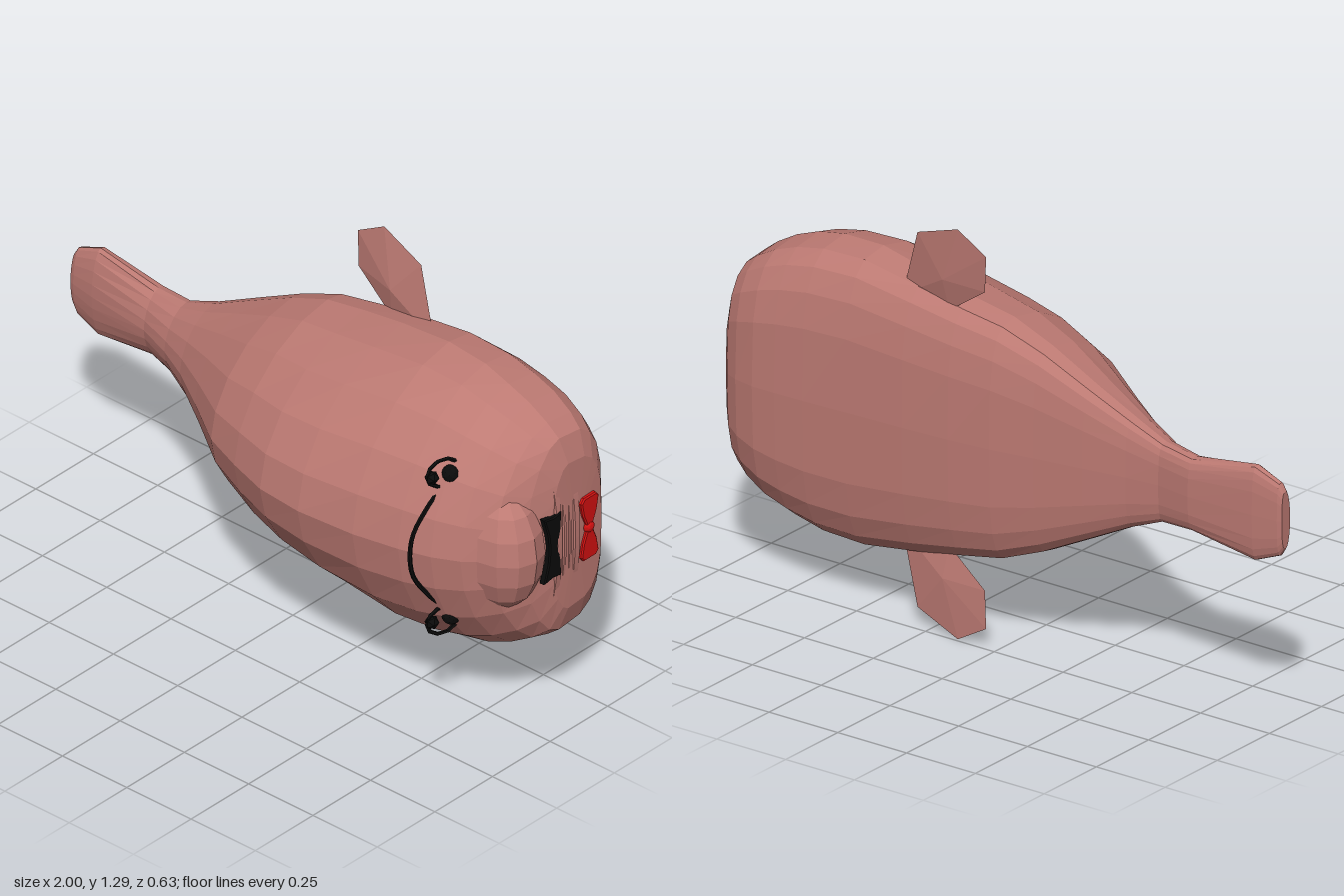
import * as THREE from 'three';

const V = (x, y, z) => new THREE.Vector3(x, y, z);

// Cross-sections along the body: x, half width, widest level z, top z, bottom z
const SECTIONS = [
  [-1.0, 0.09, -0.17, -0.15, -0.19], [-0.985, 0.115, -0.17, -0.145, -0.195],
  [-0.9, 0.15, -0.17, -0.13, -0.203], [-0.67, 0.115, -0.165, -0.1, -0.207],
  [-0.55, 0.125, -0.15, -0.055, -0.19], [-0.44, 0.17, -0.145, 0.0, -0.202],
  [-0.3, 0.24, -0.15, 0.09, -0.225], [-0.14, 0.32, -0.15, 0.2, -0.25],
  [0.0, 0.375, -0.15, 0.255, -0.275], [0.14, 0.4, -0.15, 0.3, -0.29],
  [0.3, 0.43, -0.14, 0.315, -0.3], [0.5, 0.462, -0.12, 0.3, -0.308],
  [0.65, 0.457, -0.11, 0.27, -0.315], [0.75, 0.435, -0.1, 0.24, -0.318],
  [0.83, 0.405, -0.1, 0.2, -0.318], [0.9, 0.365, -0.1, 0.14, -0.305],
  [0.945, 0.33, -0.1, 0.05, -0.285], [0.972, 0.25, -0.11, -0.03, -0.255],
];

function bodyGeometry(sides = 20) {
  const pos = [], idx = [];
  for (const [x, hw, zc, zt, zb] of SECTIONS) {
    for (let i = 0; i < sides; i++) {
      const a = (i / sides) * Math.PI * 2, c = Math.cos(a), s = Math.sin(a);
      const p = s >= 0 ? 2 / 1.8 : 2 / 3.3; // domed back, flat belly
      const y = hw * Math.sign(c) * Math.abs(c) ** p;
      const z = zc + (s >= 0 ? zt - zc : zb - zc) * Math.abs(s) ** p;
      pos.push(x, y, z);
    }
  }
  const n = SECTIONS.length, first = SECTIONS[0], last = SECTIONS[n - 1];
  const tail = n * sides, head = tail + 1;
  pos.push(first[0], 0, first[2], last[0] + 0.008, 0, last[2] - 0.03);
  for (let i = 0; i < sides; i++) {
    const j = (i + 1) % sides;
    for (let s = 0; s < n - 1; s++) {
      const a = s * sides + i, b = s * sides + j;
      idx.push(a, b, a + sides, b, b + sides, a + sides);
    }
    idx.push(tail, j, i, head, (n - 1) * sides + i, (n - 1) * sides + j);
  }
  return indexed(pos, idx);
}

function indexed(pos, idx) {
  const g = new THREE.BufferGeometry();
  g.setAttribute('position', new THREE.Float32BufferAttribute(pos, 3));
  g.setIndex(idx);
  g.computeVertexNormals();
  return g;
}

// Fin: a thin outline swelling to a ridge point on each side
function finGeometry() {
  const outline = [[0.37, 0.37, -0.2], [0.3, 0.59, -0.222], [0.14, 0.645, -0.24],
    [0.035, 0.585, -0.243], [0.045, 0.47, -0.235], [0.19, 0.37, -0.215]];
  const pos = outline.flat(), idx = [];
  pos.push(0.2, 0.47, -0.198, 0.2, 0.47, -0.236);
  for (let i = 0; i < 6; i++) {
    const j = (i + 1) % 6;
    idx.push(i, j, 6, j, i, 7);
  }
  return indexed(pos, idx);
}

// Plate drawn in (y, z) and extruded along x
function plate(points, depth) {
  const shape = new THREE.Shape(points.map(([u, v]) => new THREE.Vector2(u, v)));
  const g = new THREE.ExtrudeGeometry(shape, {
    depth, bevelEnabled: true, bevelSize: 0.004, bevelThickness: 0.004, bevelSegments: 1,
  });
  return g.applyMatrix4(new THREE.Matrix4().makeBasis(V(0, 1, 0), V(0, 0, 1), V(1, 0, 0)));
}

// Mirror a half outline across y = 0
const mirrored = (half) => [...half, ...half.map(([u, v]) => [-u, v]).reverse()];

// Long flat lip loop wrapped around the front of the face
function lipGeometry(halfW, zTop, zBottom, radius, bulge) {
  const pts = [], mid = (zTop + zBottom) / 2, r = (zTop - zBottom) / 2;
  const add = (y, z) => pts.push(V(0.972 + bulge - 0.045 * (y / 0.31) ** 2, y, z));
  for (const y of [-0.75, -0.35, 0, 0.35, 0.75]) add(y * halfW, zBottom);
  add(halfW - r * 0.3, mid - r * 0.7);
  add(halfW, mid);
  add(halfW - r * 0.3, mid + r * 0.7);
  for (const y of [0.75, 0.35, 0, -0.35, -0.75]) add(y * halfW, zTop);
  add(-halfW + r * 0.3, mid + r * 0.7);
  add(-halfW, mid);
  add(-halfW + r * 0.3, mid - r * 0.7);
  return new THREE.TubeGeometry(new THREE.CatmullRomCurve3(pts, true), 48, radius, 6, true);
}

export function createModel() {
  const model = new THREE.Group();
  model.name = 'fish';
  model.position.y = 0.65;

  const mat = (name, color) => {
    const m = new THREE.MeshStandardMaterial({ color, flatShading: true });
    m.name = name;
    return m;
  };
  const skin = mat('pinkSkin', 0xbd7a73);
  const black = mat('black', 0x0b0b0b);
  const red = mat('red', 0xd01010);

  const add = (name, geometry, material, parent = model) => {
    const mesh = new THREE.Mesh(geometry, material);
    mesh.name = name;
    parent.add(mesh);
    return mesh;
  };

  add('body', bodyGeometry(), skin);

  // Drooping nose
  const nose = add('nose', new THREE.SphereGeometry(1, 12, 8), skin);
  nose.scale.set(0.137, 0.2, 0.115);
  nose.position.set(0.862, 0, 0.055);

  // Mouth
  add('outerLip', lipGeometry(0.31, -0.062, -0.138, 0.02, -0.005), skin);
  add('innerLip', lipGeometry(0.28, -0.088, -0.112, 0.009, 0.002), skin);

  // Side parts, mirrored left to right across the body
  for (const side of [1, -1]) {
    const half = new THREE.Group();
    half.name = side > 0 ? 'upperSide' : 'lowerSide';
    half.scale.y = side;
    model.add(half);
    add('fin', finGeometry(), skin, half);

    const rim = add('lensRim', new THREE.TorusGeometry(0.046, 0.006, 5, 10), black, half);
    rim.position.set(0.737, 0.255, 0.172);
    rim.rotation.y = Math.PI / 2 - 0.32;
    rim.scale.x = 1.15;

    const eye = add('eye', new THREE.IcosahedronGeometry(0.029, 1), black, half);
    eye.position.set(0.748, 0.245, 0.148);
    const hinge = add('hinge', new THREE.IcosahedronGeometry(0.022, 0), black, half);
    hinge.position.set(0.727, 0.25, 0.208);
  }

  // Glasses bridge arching over the back of the head
  const arch = [[0.738, -0.215, 0.165], [0.72, -0.15, 0.22], [0.705, -0.06, 0.27],
    [0.705, 0.06, 0.27], [0.72, 0.15, 0.22], [0.738, 0.215, 0.165]];
  const bridge = new THREE.CatmullRomCurve3(arch.map((p) => V(...p)));
  add('glassesBridge', new THREE.TubeGeometry(bridge, 20, 0.007, 6), black);

  // Moustache under the nose
  const moustache = add('moustache', plate(mirrored(
    [[0, -0.05], [0.05, -0.062], [0.105, -0.066], [0.1, -0.035], [0.107, 0.0], [0.05, -0.018], [0.01, -0.022]],
  ), 0.015), black);
  moustache.position.x = 0.965;

  // Bow tie: two lobes and a knot
  for (const side of [1, -1]) {
    const lobe = [[0.012, -0.01], [0.05, -0.026], [0.092, -0.034], [0.104, -0.024],
      [0.104, 0.024], [0.092, 0.034], [0.05, 0.026], [0.012, 0.01]];
    const mesh = add('bowLobe', plate(lobe, 0.014), red);
    mesh.position.set(0.97, 0, -0.189);
    mesh.scale.y = side;
  }
  const knot = add('bowKnot', new THREE.IcosahedronGeometry(0.02, 1), red);
  knot.position.set(0.98, 0, -0.189);
  knot.scale.x = 0.8;

  return model;
}
